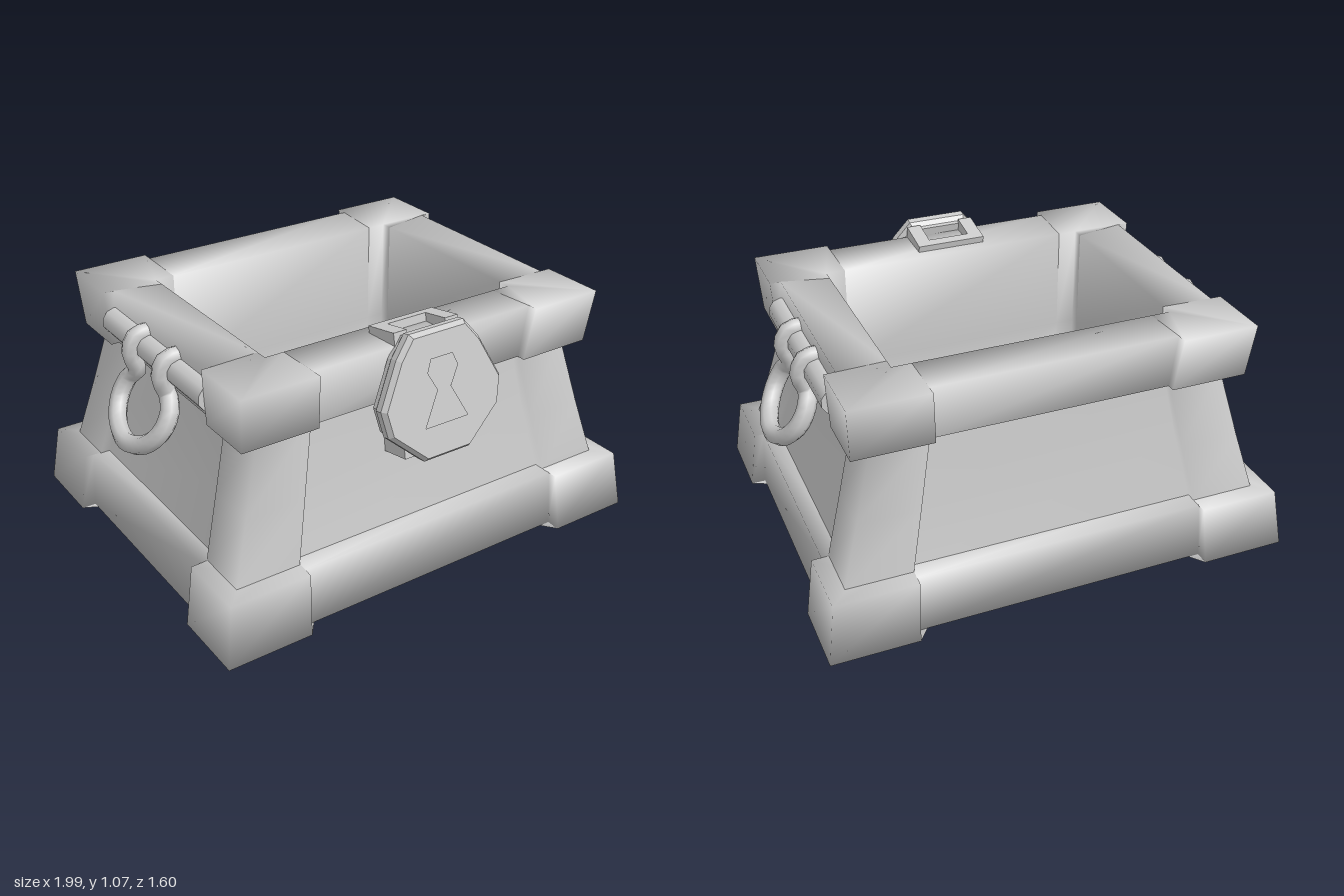
import * as THREE from 'three';

const material = new THREE.MeshStandardMaterial({ color: 0xcccccc });

function add(parent, name, geometry) {
  const mesh = new THREE.Mesh(geometry, material);
  mesh.name = name;
  parent.add(mesh);
  return mesh;
}

// Rectangle outline whose sides are set back by r between the four corner blocks
function outline({ X, Z, cx, cz, r = 0 }) {
  const q = [[X - r, cz], [X, cz], [X, Z], [cx, Z], [cx, Z - r]];
  const flip = (sx, sz) => q.map(([x, z]) => [x * sx, z * sz]);
  return [...flip(1, 1), ...flip(-1, 1).reverse(), ...flip(-1, -1), ...flip(1, -1).reverse()];
}

// Smooth loft through outlines, with optional caps at the first and last row
function loft(rows, capStart, capEnd) {
  const pos = [], index = [], n = 20;
  for (const row of rows) for (const [x, z] of outline(row)) pos.push(x, row.y, z);
  for (let k = 0; k < rows.length - 1; k++) {
    for (let i = 0; i < n; i++) {
      const a = k * n + i, b = k * n + (i + 1) % n;
      index.push(a, a + n, b, b, a + n, b + n);
    }
  }
  const cap = (k, up) => {
    const c = pos.length / 3;
    pos.push(0, rows[k].y, 0);
    for (let i = 0; i < n; i++) {
      const a = k * n + i, b = k * n + (i + 1) % n;
      index.push(c, up ? b : a, up ? a : b);
    }
  };
  if (capStart) cap(0, false);
  if (capEnd) cap(rows.length - 1, true);
  const g = new THREE.BufferGeometry();
  g.setAttribute('position', new THREE.Float32BufferAttribute(pos, 3));
  g.setIndex(index);
  g.computeVertexNormals();
  return g;
}

const shapeOf = (pts) => new THREE.Shape(pts.map(([x, y]) => new THREE.Vector2(x, y)));
// Right-hand points, top to bottom, mirrored into a closed outline
const mirrored = (pts) => [...pts, ...pts.map(([x, y]) => [-x, y]).reverse()];

function createLock() {
  const lock = new THREE.Group();
  lock.name = 'lock';
  const face = mirrored([[0.12, 0.235], [0.18, 0.16], [0.265, -0.01], [0.245, -0.11], [0.1, -0.24]]);
  const keyhole = mirrored([[0.05, 0.14], [0.07, 0.09], [0.03, 0.015], [0.1, -0.12]]);

  // Bevelled face plate pierced by the keyhole
  const plate = shapeOf(face);
  plate.holes.push(new THREE.Path(keyhole.map(([x, y]) => new THREE.Vector2(x, y))));
  add(lock, 'lockPlate', new THREE.ExtrudeGeometry(plate, {
    depth: 0.03, bevelThickness: 0.02, bevelSize: 0.015, bevelSegments: 1,
  })).position.z = -0.05;
  add(lock, 'lockBacking', new THREE.ExtrudeGeometry(shapeOf(face), {
    depth: 0.03, bevelEnabled: false,
  })).position.z = -0.09;

  // Narrow rear block with a square socket open at the top
  const socket = shapeOf([[-0.15, -0.25], [0.15, -0.25], [0.15, 0.25], [0.09, 0.25],
    [0.09, 0.1], [-0.09, 0.1], [-0.09, 0.25], [-0.15, 0.25]]);
  add(lock, 'lockSocket', new THREE.ExtrudeGeometry(socket, {
    depth: 0.12, bevelEnabled: false,
  })).position.z = -0.2;
  add(lock, 'lockRear', new THREE.BoxGeometry(0.3, 0.5, 0.04)).position.z = -0.22;

  lock.position.set(0, 0.83, 0.755);
  lock.rotation.x = -0.19;
  return lock;
}

function createHandle() {
  const handle = new THREE.Group();
  const bar = add(handle, 'handleBar', new THREE.CylinderGeometry(0.055, 0.055, 0.8, 10));
  bar.rotation.x = Math.PI / 2;
  bar.position.set(0.79, 0.885, 0);

  // Ring hooked over the bar and swung outwards
  const half = [[0.74, 0.94, 0.125], [0.83, 0.93, 0.125], [0.855, 0.87, 0.125], [0.83, 0.79, 0.13],
    [0.85, 0.74, 0.175], [0.89, 0.67, 0.18], [0.935, 0.6, 0.12]];
  const path = [...half, [0.96, 0.565, 0], ...half.map(([x, y, z]) => [x, y, -z]).reverse()];
  const curve = new THREE.CatmullRomCurve3(path.map((p) => new THREE.Vector3(...p)));
  add(handle, 'handleRing', new THREE.TubeGeometry(curve, 40, 0.038, 8));
  return handle;
}

export function createModel() {
  const chest = new THREE.Group();
  chest.name = 'chest';

  // Base with flared corner blocks
  add(chest, 'base', loft([
    { y: 0, X: 0.985, Z: 0.8, cx: 0.625, cz: 0.48, r: 0.06 },
    { y: 0.25, X: 0.95, Z: 0.77, cx: 0.61, cz: 0.475, r: 0.04 },
    { y: 0.25, X: 0.8, Z: 0.62, cx: 0.6, cz: 0.47 },
  ], true, false));

  // Tapered walls with corner posts
  add(chest, 'body', loft([
    { y: 0.24, X: 0.883, Z: 0.693, cx: 0.61, cz: 0.47, r: 0.04 },
    { y: 0.5, X: 0.808, Z: 0.65, cx: 0.555, cz: 0.43, r: 0.05 },
    { y: 0.8, X: 0.727, Z: 0.605, cx: 0.495, cz: 0.39, r: 0.04 },
  ], false, false));

  // Rim with corner blocks, turning down into the hollow inside
  const hole = { X: 0.58, Z: 0.43, cx: 0.5, cz: 0.38 };
  add(chest, 'rimAndInterior', loft([
    { y: 0.78, X: 0.64, Z: 0.54, cx: 0.5, cz: 0.4 },
    { y: 0.78, X: 0.815, Z: 0.65, cx: 0.49, cz: 0.4, r: 0.035 },
    { y: 1.01, X: 0.828, Z: 0.682, cx: 0.505, cz: 0.405, r: 0.045 },
    { y: 1.0, ...hole },
    { y: 0.55, ...hole },
    { y: 0.1, ...hole },
  ], false, true));

  chest.add(createLock());

  // Matching handles on both ends
  for (const side of ['left', 'right']) {
    const handle = createHandle();
    handle.name = side + 'Handle';
    if (side === 'right') handle.rotation.y = Math.PI;
    chest.add(handle);
  }
  return chest;
}
